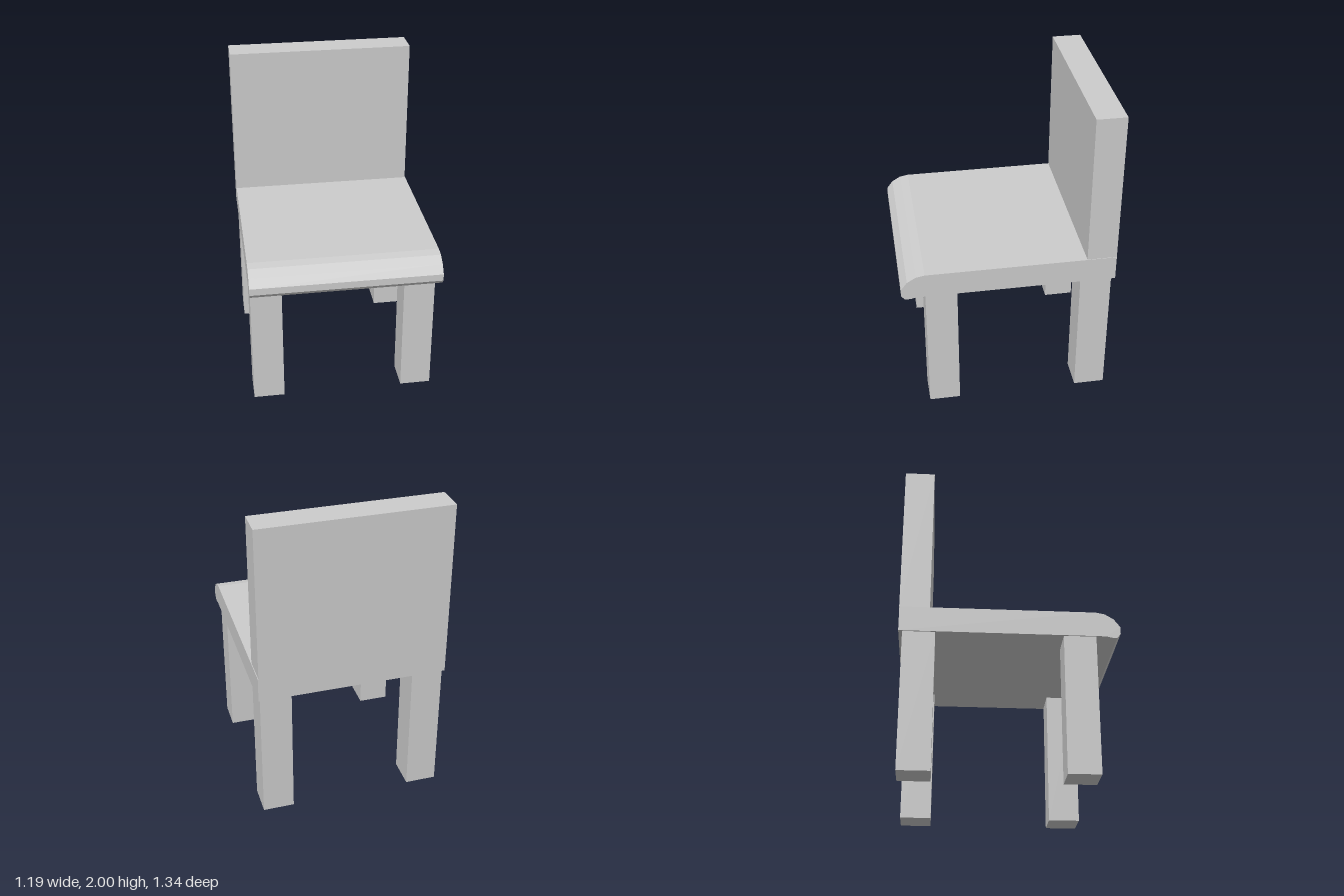
import * as THREE from 'three';

export function createModel() {
  const chair = new THREE.Group();
  chair.name = 'chair';
  const grey = new THREE.MeshStandardMaterial({ color: 0xcccccc, flatShading: true });
  grey.name = 'light grey';

  const add = (name, geometry, x, y, z) => {
    const mesh = new THREE.Mesh(geometry, grey);
    mesh.name = name;
    mesh.position.set(x, y, z);
    chair.add(mesh);
  };

  // Seat: side profile (z, y) with a rolled front edge, extruded across the width
  const width = 1.194;
  const profile = [
    [-0.67, 0.87], [0.585, 0.87], [0.615, 0.862], [0.65, 0.862], [0.672, 0.89],
    [0.672, 0.935], [0.633, 0.987], [0.578, 1.02], [0.522, 1.03], [-0.67, 1.03],
  ].map(([z, y]) => new THREE.Vector2(z, y));
  const seat = new THREE.ExtrudeGeometry(new THREE.Shape(profile), { depth: width, bevelEnabled: false });
  seat.translate(0, 0, -width / 2).rotateY(-Math.PI / 2);
  add('seat', seat, 0, 0, 0);

  // Upright slab standing on the rear of the seat
  add('backrest', new THREE.BoxGeometry(1.19, 0.97, 0.186), -0.002, 1.515, -0.578);

  // Four square legs
  const leg = new THREE.BoxGeometry(0.198, 0.87, 0.198);
  for (const [side, x] of [['left', 0.486], ['right', -0.489]]) {
    add(side + 'FrontLeg', leg, x, 0.435, 0.425);
    add(side + 'BackLeg', leg, x, 0.435, -0.548);
  }
  return chair;
}
